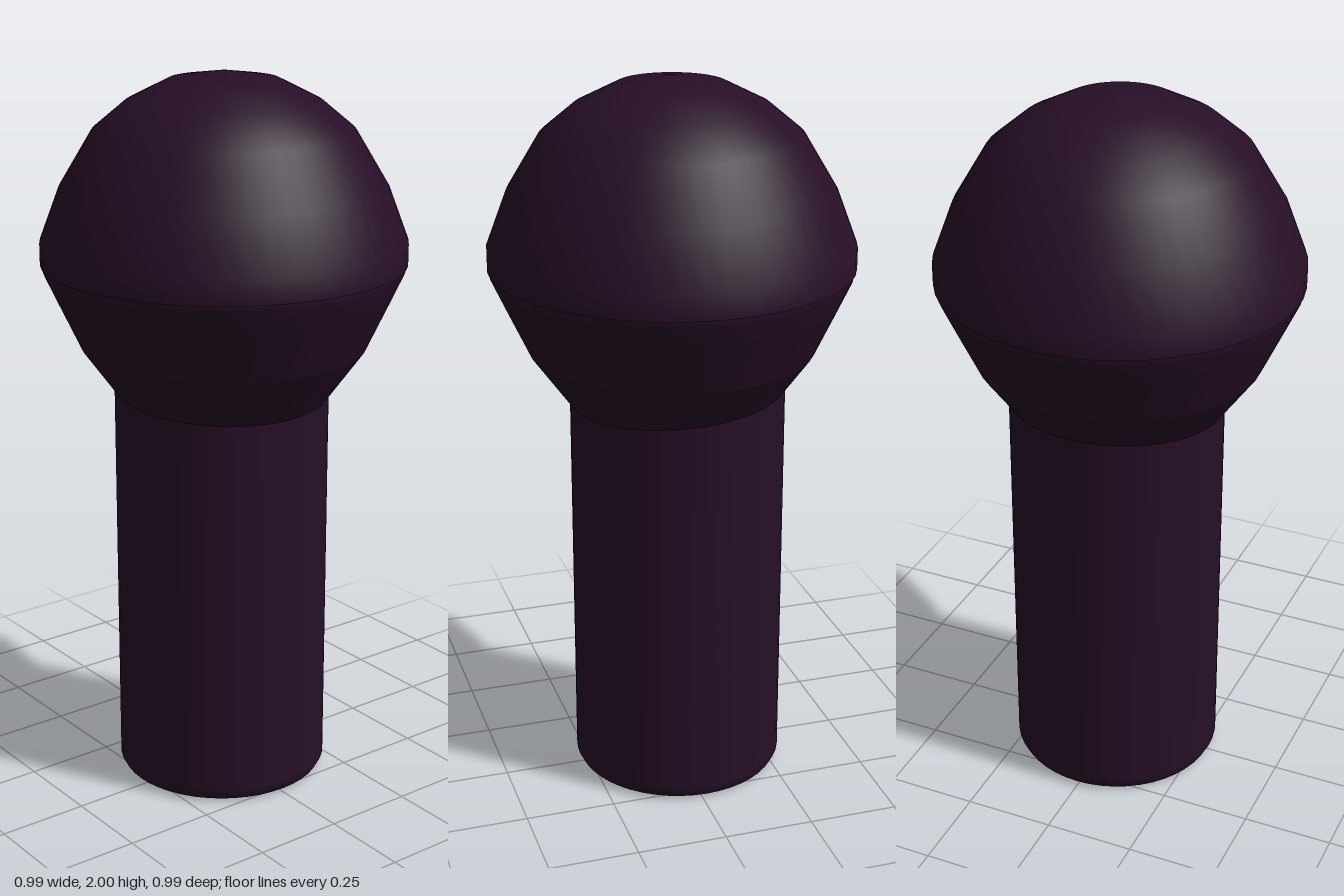
import * as THREE from 'three';

const SEGMENTS = 48;

// Turns a [radius, height] profile, listed bottom to top, about the y axis.
function turned(name, profile, material) {
  const points = profile.map(([r, y]) => new THREE.Vector2(r, y));
  const mesh = new THREE.Mesh(new THREE.LatheGeometry(points, SEGMENTS), material);
  mesh.name = name;
  return mesh;
}

export function createModel() {
  const model = new THREE.Group();
  model.name = 'knobbedHandle';
  const plum = new THREE.MeshStandardMaterial({ color: 0x270f27 });
  plum.name = 'dark plum';

  // Faceted dome with a short upright rim
  model.add(turned('dome', [
    [0.495, 1.49], [0.495, 1.55], [0.44, 1.695], [0.35, 1.845],
    [0.26, 1.92], [0.147, 1.977], [0, 2],
  ], plum));

  // Small flat lip under the rim
  model.add(turned('domeLip', [[0.47, 1.49], [0.495, 1.49]], plum));

  // Bowl narrowing under the dome; its base sits inside the handle
  model.add(turned('bowl', [
    [0.26, 1.08], [0.39, 1.26], [0.39, 1.26], [0.455, 1.4], [0.488, 1.472], [0.488, 1.49],
  ], plum));

  // Straight grip with a rounded bottom edge, set slightly back
  const grip = turned('grip', [
    [0.27, 0], [0.287, 0.008], [0.296, 0.025], [0.296, 0.04], [0.296, 1.2],
  ], plum);
  const base = turned('gripBase', [[0, 0], [0.27, 0]], plum);
  for (const part of [grip, base]) {
    part.position.set(0.003, 0, -0.015);
    model.add(part);
  }

  return model;
}
